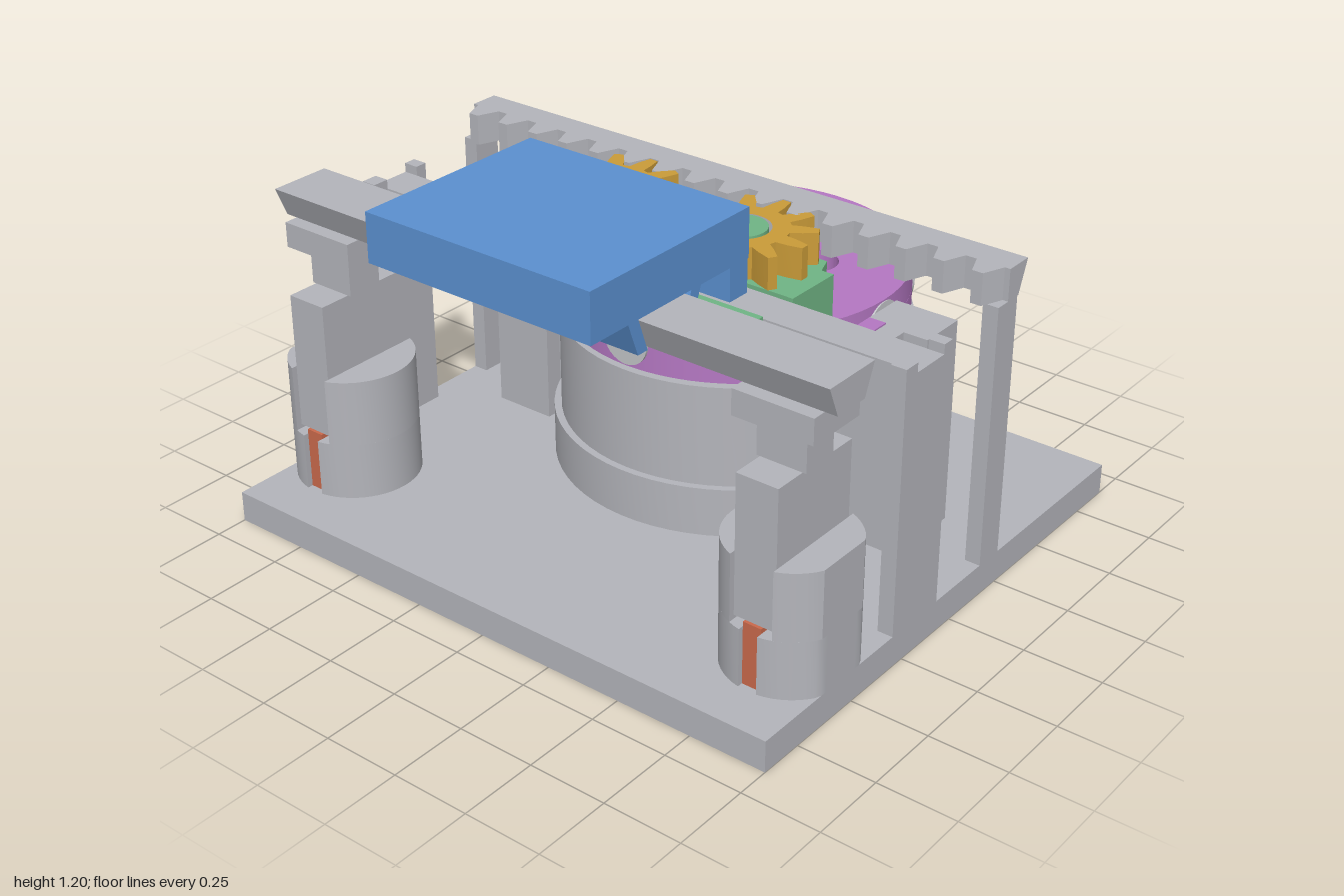
import * as THREE from 'three';
import { toCreasedNormals } from 'three/addons/utils/BufferGeometryUtils.js';

const flat = (name, color) => {
  const m = new THREE.MeshStandardMaterial({ color });
  m.name = name;
  return m;
};

export function createModel() {
  const model = new THREE.Group();
  model.name = 'geared slide mechanism';
  const gray = flat('gray', 0xb4b5bb), steel = flat('light steel', 0xc3c5c8);
  const purple = flat('purple', 0xb578c3), green = flat('green', 0x70b585);
  const gold = flat('gold', 0xcb9c39), red = flat('red', 0xca6a4c), blue = flat('blue', 0x5b90d0);

  const add = (name, geo, mat) => {
    const mesh = new THREE.Mesh(geo, mat);
    mesh.name = name;
    model.add(mesh);
    return mesh;
  };
  // Box from its minimum and maximum on each axis
  const box = (name, mat, x0, x1, y0, y1, z0, z1) => {
    const g = new THREE.BoxGeometry(Math.abs(x1 - x0), y1 - y0, z1 - z0);
    g.translate((x0 + x1) / 2, (y0 + y1) / 2, (z0 + z1) / 2);
    return add(name, g, mat);
  };
  const cyl = (name, mat, r, y0, y1, x, z, seg = 48) => {
    const g = new THREE.CylinderGeometry(r, r, y1 - y0, seg);
    g.translate(x, (y0 + y1) / 2, z);
    return add(name, g, mat);
  };
  // Plan outlines use (x, z); prisms are raised from y0 to y1
  const outline = (pts) => new THREE.Shape(pts.map(([x, z]) => new THREE.Vector2(x, -z)));
  const hole = (x, z, r) => new THREE.Path().absarc(x, -z, r, 0, Math.PI * 2, true);
  const disc = (x, z, r) => new THREE.Shape().absarc(x, -z, r, 0, Math.PI * 2, false);
  const prism = (name, mat, shape, y0, y1) => {
    let g = new THREE.ExtrudeGeometry(shape, { depth: y1 - y0, bevelEnabled: false, curveSegments: 32 });
    g.rotateX(-Math.PI / 2).translate(0, y0, 0);
    g = toCreasedNormals(g, 0.4);
    return add(name, g, mat);
  };
  // Section in (z, y) swept along x
  const bar = (name, mat, pts, halfLength) => {
    const s = new THREE.Shape(pts.map(([z, y]) => new THREE.Vector2(-z, y)));
    const g = new THREE.ExtrudeGeometry(s, { depth: halfLength * 2, bevelEnabled: false });
    g.rotateY(Math.PI / 2).translate(-halfLength, 0, 0);
    return add(name, g, mat);
  };
  const gear = (name, mat, x, z, n, root, tip, y0, y1, bore) => {
    const pts = [];
    const step = (Math.PI * 2) / n;
    for (let i = 0; i < n; i++) {
      for (const [f, r] of [[-0.36, root], [-0.25, root + (tip - root) * 0.45], [-0.12, tip],
        [0.12, tip], [0.25, root + (tip - root) * 0.45], [0.36, root]]) {
        const a = (i + f) * step;
        pts.push([x + Math.sin(a) * r, z - Math.cos(a) * r]);
      }
    }
    const s = outline(pts);
    s.holes.push(hole(x, z, bore));
    return prism(name, mat, s, y0, y1);
  };
  // Toothed edge along x, with a tooth centred on each entry
  const teeth = (centres, pitch, root, tip) => centres.flatMap((c) => [
    [c - pitch * 0.36, root], [c - pitch * 0.14, tip], [c + pitch * 0.14, tip], [c + pitch * 0.36, root]]);

  // Base plate with mounting holes and cable opening
  const cz = -0.3;
  const boltHoles = [[0, 0, 0.075]];
  for (const sx of [-1, 1]) for (const sz of [-1, 1]) boltHoles.push([sx * 0.17, sz * 0.17, 0.06]);
  const plate = outline([[-1, 0.895], [1, 0.895], [1, -0.895], [-1, -0.895]]);
  boltHoles.forEach(([x, z, r]) => plate.holes.push(hole(x, cz + z, r)));
  plate.holes.push(new THREE.Path([[-0.22, 0.55], [-0.22, 0.79], [0.22, 0.79], [0.22, 0.55]]
    .map(([x, y]) => new THREE.Vector2(x, y))));
  prism('basePlate', gray, plate, 0, 0.1);

  // Motor housing with retaining collar
  const housing = disc(0, cz, 0.55);
  boltHoles.forEach(([x, z, r]) => housing.holes.push(hole(x, cz + z, r)));
  prism('motorHousing', gray, housing, 0.1, 0.59);
  const ring = disc(0, cz, 0.573);
  ring.holes.push(hole(0, cz, 0.545));
  prism('housingLip', gray, ring, 0.1, 0.26);
  const collar = [], inner = [];
  for (let i = 0; i <= 48; i++) {
    const a = (i / 48) * Math.PI;
    collar.push([Math.cos(a) * 0.62, Math.max(-0.895, cz - Math.sin(a) * 0.62)]);
    inner.unshift([Math.cos(a) * 0.56, cz - Math.sin(a) * 0.56]);
  }
  prism('rearCollar', gray, outline([...collar, ...inner]), 0.1, 0.26);

  // Rotor with counterbored screws and round side plugs
  cyl('rotorGap', gray, 0.5, 0.585, 0.605, 0, cz);
  cyl('rotorLower', purple, 0.54, 0.6, 0.69, 0, cz, 96);
  const rotor = disc(0, cz, 0.54);
  const screws = [[-0.09, -0.22], [0.22, -0.09], [0.09, 0.22], [-0.22, 0.09]];
  screws.forEach(([x, z]) => rotor.holes.push(hole(x, cz + z, 0.08)));
  prism('rotorUpper', purple, rotor, 0.69, 0.77);
  screws.forEach(([x, z]) => cyl('rotorScrew', steel, 0.045, 0.68, 0.7, x, cz + z, 24));
  for (let i = 0; i < 8; i++) {
    const g = new THREE.CylinderGeometry(0.08, 0.08, 0.03, 32);
    g.rotateX(Math.PI / 2).translate(0, 0.685, 0.528).rotateY((i * Math.PI) / 4).translate(0, 0, cz);
    add('rotorSidePlug', g, steel);
  }

  // Drive pinion on the motor shaft
  gear('drivePinion', red, 0, cz, 11, 0.125, 0.2, 0.772, 0.92, 0.07);
  cyl('motorShaft', steel, 0.069, 0.76, 0.918, 0, cz, 32);

  // Green carriage: rack-toothed body folded around the guide bar
  const greenCentres = [-4, -3, -2, -1, 0, 1, 2, 3, 4].map((i) => i * 0.105);
  prism('carriageBody', green, outline([[0.5, 0.11], [-0.5, 0.11], [-0.5, -0.09],
    ...teeth(greenCentres, 0.105, -0.09, -0.15), [0.5, -0.09]]), 0.78, 0.92);
  box('carriageFloor', green, -0.5, 0.5, 0.78, 0.83, 0.11, 0.25);
  box('carriageLip', green, -0.5, 0.5, 0.78, 0.92, 0.25, 0.31);
  for (const s of [-1, 1]) {
    cyl('gearAxle', green, 0.08, 0.92, 1.042, s * 0.25, 0.02, 32);
    gear('idlerGear', gold, s * 0.25, 0.02, 12, 0.145, 0.225, 0.94, 1.04, 0.09);
  }

  // Fixed rack above the rotor
  const pitch = 0.125;
  const rackCentres = Array.from({ length: 16 }, (_, i) => (i - 7.5) * pitch);
  bar('rackBody', gray, [[-0.21, 0.94], [-0.21, 1.04], [-0.305, 1.04], [-0.265, 0.94]], 1);
  prism('rackTeeth', gray, outline([[1, -0.22], [-1, -0.22], [-1, -0.21],
    ...teeth(rackCentres, pitch, -0.21, -0.14), [1, -0.21]]), 0.94, 1.04);

  // Carriage guide bar
  box('guideBar', gray, -1, 1, 0.83, 0.91, 0.115, 0.245);

  // Dovetail rail and the blue slide riding on it
  bar('dovetailRail', gray, [[0.655, 1.035], [0.615, 0.94], [0.495, 0.94], [0.455, 1.035]], 1);
  box('slideTop', blue, -0.4, 0.4, 1.045, 1.2, 0.185, 0.86);
  box('slideRearWall', blue, -0.4, 0.4, 0.94, 1.045, 0.19, 0.27);
  bar('slideFrontJaw', blue, [[0.71, 1.046], [0.67, 0.94], [0.63, 0.94], [0.668, 1.046]], 0.4);
  bar('slideRearJaw', blue, [[0.4, 1.046], [0.442, 1.046], [0.48, 0.94], [0.44, 0.94]], 0.4);

  for (const s of [-1, 1]) {
    const part = (name, mat, x0, x1, ...r) => box(name, mat, s * x0, s * x1, ...r);
    // Rack post and forked guide post
    part('rackPost', gray, 0.95, 1, 0.1, 0.94, -0.26, -0.16);
    part('guidePost', gray, 0.95, 1, 0.1, 0.83, 0.075, 0.3);
    part('guideForkFront', gray, 0.95, 1, 0.83, 0.94, 0.245, 0.3);
    part('guideForkRear', gray, 0.95, 1, 0.83, 0.94, 0.075, 0.115);

    // Slotted rotor stop with its purple tab
    part('stopRearSlab', gray, 0.57, 0.78, 0.1, 0.77, -0.32, -0.16);
    part('stopFrontSlab', gray, 0.57, 0.78, 0.1, 0.77, -0.11, -0.05);
    part('stopWeb', gray, 0.63, 0.7, 0.12, 0.77, -0.16, -0.11);
    part('stopTab', purple, 0.575, 0.632, 0.69, 0.775, -0.17, -0.1);

    // Slotted spring cup, cut flat at the plate edge
    const px = 0.83, pz = 0.555, r = 0.195;
    const segment = (dir, gap) => {
      const a0 = Math.acos(gap / r), pts = [];
      for (let i = 0; i <= 24; i++) {
        const a = -a0 + (2 * a0 * i) / 24;
        pts.push([s * Math.min(1, px + dir * Math.cos(a) * r), pz + Math.sin(a) * r]);
      }
      return outline(pts);
    };
    for (const dir of [-1, 1]) {
      prism('springCupBase', gray, segment(dir, 0.03), 0.1, 0.285);
      prism('springCupWall', gray, segment(dir, 0.07), 0.285, 0.5);
    }
    part('spring', red, 0.8, 0.86, 0.1, 0.3, 0.38, 0.73);

    // Plunger carrying the dovetail rail
    part('plunger', gray, 0.762, 0.898, 0.3, 0.74, 0.39, 0.72);
    part('plungerNeck', gray, 0.75, 0.91, 0.74, 0.87, 0.495, 0.615);
    part('railSeat', gray, 0.7, 0.96, 0.86, 0.94, 0.455, 0.66);
  }
  return model;
}
